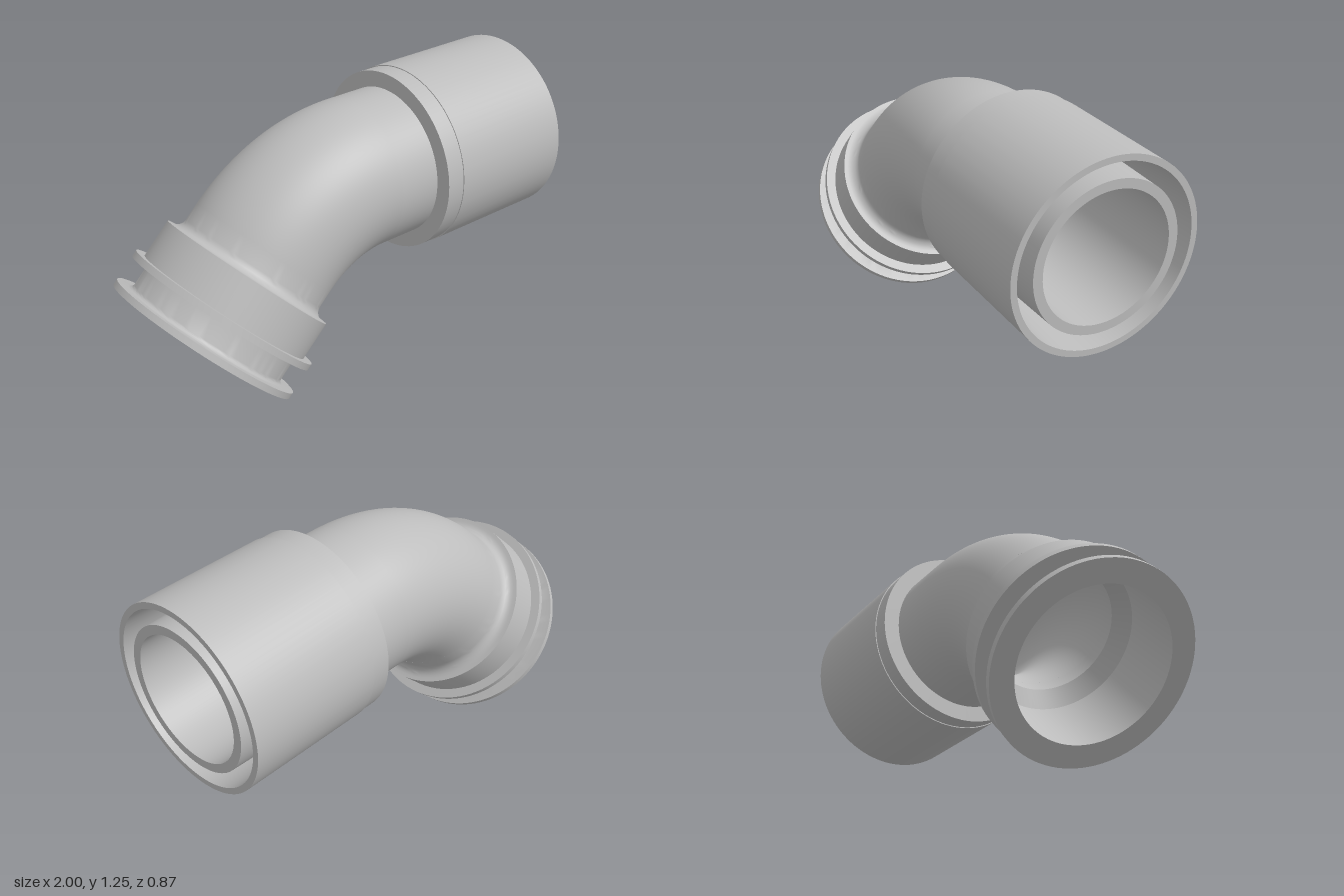
import * as THREE from 'three';
import { toCreasedNormals } from 'three/addons/utils/BufferGeometryUtils.js';

const SEGMENTS = 96;
const AXIS_Y = 0.838;      // height of the straight run
const BEND_X = 0.12;       // where the bend begins
const BEND_R = 0.681;      // bend centreline radius
const PIPE_R = 0.335;
const BORE_R = 0.277;

// Revolved profile of [radius, distance along axis] pairs, with crisp corners
function revolve(points, tilt) {
  const profile = points.map(([r, d]) => new THREE.Vector2(r, d));
  const geometry = new THREE.LatheGeometry(profile, SEGMENTS);
  geometry.rotateZ(tilt);
  return toCreasedNormals(geometry, 0.5);
}

// Quarter-round corner between two profile points
function fillet(cr, cd, radius, from, to, steps = 6) {
  return Array.from({ length: steps + 1 }, (_, i) => {
    const a = from + (to - from) * i / steps;
    return [cr + radius * Math.cos(a), cd + radius * Math.sin(a)];
  });
}

// 45 degree elbow surface; inward = true turns the faces to the inside
function elbow(radius, inward) {
  const geometry = new THREE.TorusGeometry(BEND_R, radius, SEGMENTS, 32, Math.PI / 4);
  geometry.rotateZ(Math.PI / 2);
  if (inward) {
    geometry.index.array.reverse();
    const normal = geometry.attributes.normal;
    for (let i = 0; i < normal.array.length; i++) normal.array[i] *= -1;
  }
  return geometry;
}

export function createModel() {
  const group = new THREE.Group();
  group.name = 'pipeElbow';
  const grey = new THREE.MeshStandardMaterial({ color: 0xbdbdbd });
  grey.name = 'light grey';

  function add(name, geometry, x, y) {
    const mesh = new THREE.Mesh(geometry, grey);
    mesh.name = name;
    mesh.position.set(x, y, 0);
    group.add(mesh);
  }

  // Straight run with double-walled socket and annular groove
  add('socket', revolve([
    [PIPE_R, BEND_X], [PIPE_R, 0.315],
    [0.406, 0.315], [0.406, 0.4],
    [0.41, 0.4], [0.41, 1],
    [0.383, 1], [0.36, 0.45],
    [0.33, 0.45], [0.317, 1],
    [BORE_R, 1], [BORE_R, BEND_X],
  ], -Math.PI / 2), 0, AXIS_Y);

  // Curved section, outside and bore
  add('bendOuter', elbow(PIPE_R, false), BEND_X, AXIS_Y - BEND_R);
  add('bendBore', elbow(BORE_R, true), BEND_X, AXIS_Y - BEND_R);

  // Flanged end: end flange, groove, second flange, collar, fillet into pipe
  add('flangedEnd', revolve([
    [BORE_R, 0.466], [BORE_R, 0.4], [0.335, 0.33], [0.335, 0],
    [0.437, 0], [0.437, 0.028],
    ...fillet(0.385, 0.048, 0.02, -Math.PI / 2, -Math.PI),
    [0.365, 0.141], [0.437, 0.141], [0.437, 0.17],
    [0.396, 0.17], [0.396, 0.343],
    ...fillet(0.38, 0.388, 0.045, -Math.PI / 2, -Math.PI),
    [PIPE_R, 0.466],
  ], -Math.PI / 4), -0.691, 0.309);

  return group;
}
